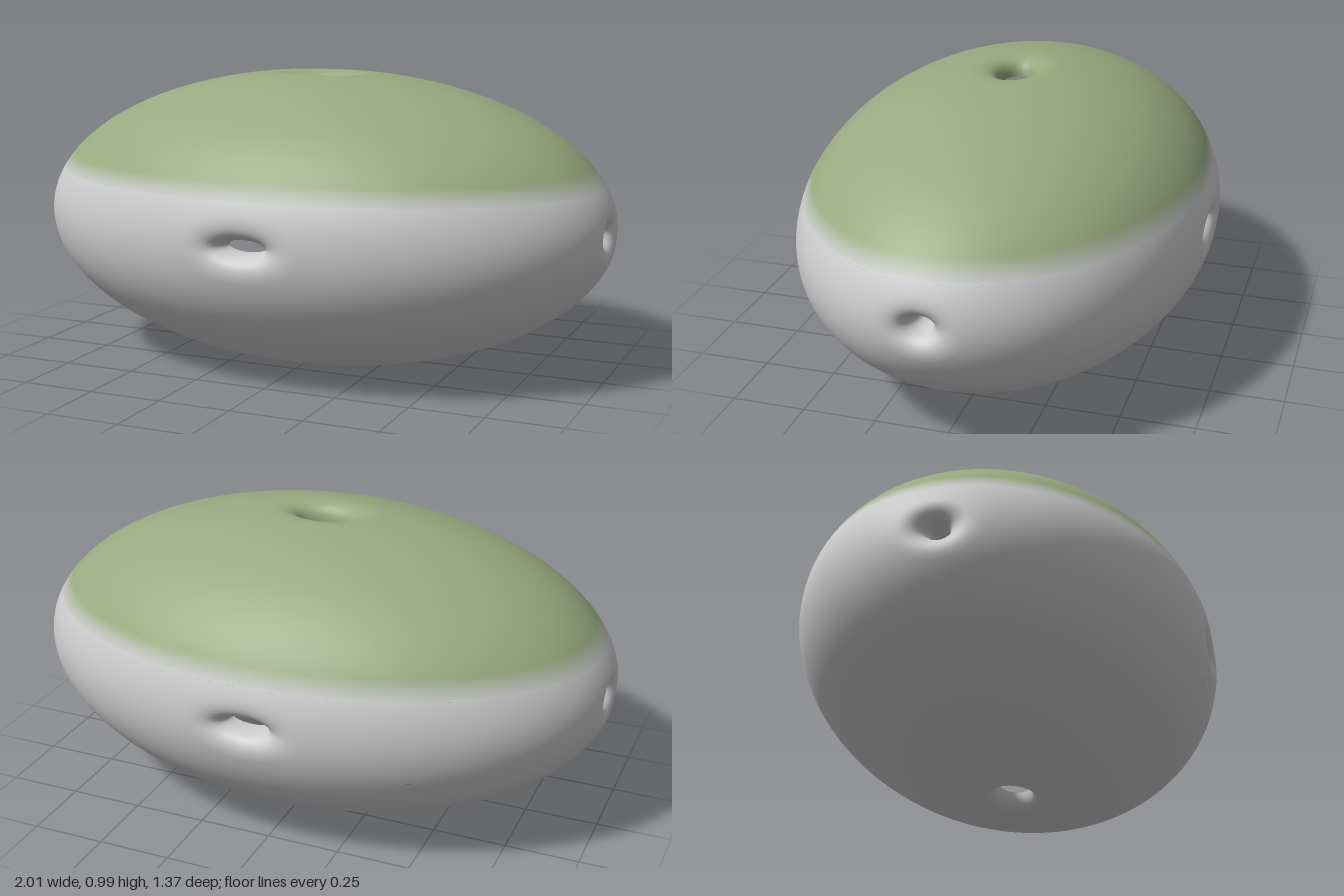
import * as THREE from 'three';

const RADII = new THREE.Vector3(1.005, 0.497, 0.687); // ellipsoid half axes per unit
const R = 1.015;                 // sphere radius before the funnels cut its poles
const RIM = 0.22;                // where a funnel leaves the sphere
const BAND = [0.28, 0.40];       // heights between which grey fades to green
const FUNNEL = 14, SKIN = 30, SEGS = 96;
const GREY = new THREE.Color(0xcccccc), GREEN = new THREE.Color(0x98aa80);
const lerp = THREE.MathUtils.lerp;

// Funnel with an oval throat (a by b), curling out tangent to the sphere, around +z
function funnelPoint(t, angle, a, b) {
  const c = Math.cos(angle), s = Math.sin(angle);
  const rimH = Math.sqrt(R * R - RIM * RIM);
  const ctrlH = rimH + (RIM / rimH) * (RIM - (a + b) / 2);
  const k0 = 1 - t * t, k1 = t * t;
  return [
    c * (k0 * a + k1 * RIM),
    s * (k0 * b + k1 * RIM),
    (1 - t) ** 2 * 0.87 + 2 * t * (1 - t) * ctrlH + k1 * rimH,
  ];
}

// Round cap: from the rim down to the height of the edge
function capPoint(t, angle, edge) {
  const polar = lerp(Math.asin(RIM / R), Math.acos(edge), t);
  const r = R * Math.sin(polar);
  return [r * Math.cos(angle), r * Math.sin(angle), R * Math.cos(polar)];
}

// Quarter of the belt: from the round rim out to a square of longitude and height
function sidePoint(t, angle, edge) {
  const c = Math.cos(angle), s = Math.sin(angle);
  const k = 1 / Math.max(Math.abs(c), Math.abs(s));
  const rimH = Math.sqrt(R * R - RIM * RIM);
  const lon = lerp(Math.atan2(RIM * c, rimH), (Math.PI / 4) * k * c, t);
  const y = lerp((RIM * s) / R, edge * k * s, t);
  const r = R * Math.sqrt(1 - y * y);
  return [r * Math.sin(lon), R * y, r * Math.cos(lon)];
}

// Closed loops of points from the throat outwards
function patch(outerPoint, edge, a, b, rotX, rotY) {
  const pos = [], index = [], rows = FUNNEL + SKIN;
  for (let i = 0; i <= rows; i++) {
    for (let j = 0; j < SEGS; j++) {
      const angle = (j / SEGS) * Math.PI * 2;
      pos.push(...(i < FUNNEL
        ? funnelPoint(i / FUNNEL, angle, a, b)
        : outerPoint((i - FUNNEL) / SKIN, angle, edge)));
      if (i === rows) continue;
      const n = (j + 1) % SEGS;
      const p = i * SEGS + j, q = i * SEGS + n;
      index.push(p, p + SEGS, q + SEGS, p, q + SEGS, q);
    }
  }
  const geo = new THREE.BufferGeometry();
  geo.setAttribute('position', new THREE.Float32BufferAttribute(pos, 3));
  geo.setIndex(index);
  geo.rotateX(rotX).rotateY(rotY).scale(RADII.x, RADII.y, RADII.z);
  geo.computeVertexNormals();
  // Exact ellipsoid normals on the skin, so that patches join without seams
  const P = geo.attributes.position, N = geo.attributes.normal;
  const v = new THREE.Vector3();
  for (let i = FUNNEL * SEGS; i < P.count; i++) {
    v.fromBufferAttribute(P, i).divide(RADII).divide(RADII).normalize();
    N.setXYZ(i, v.x, v.y, v.z);
  }
  return geo;
}

export function createModel() {
  const group = new THREE.Group();
  group.name = 'hollowPebble';
  const body = new THREE.Group();
  body.name = 'shell';
  body.position.y = 0.495;
  group.add(body);

  const add = (name, geo, color) => {
    const mesh = new THREE.Mesh(geo, new THREE.MeshStandardMaterial({ color }));
    mesh.name = name;
    body.add(mesh);
  };

  // Top and bottom caps
  add('topCap', patch(capPoint, BAND[1], 0.09, 0.08, -Math.PI / 2, 0), GREEN);
  add('bottomCap', patch(capPoint, BAND[0], 0.09, 0.08, Math.PI / 2, 0), GREY);

  // Four sides of the belt
  ['frontSide', 'leftSide', 'backSide', 'rightSide'].forEach((name, k) => {
    const [a, b] = k % 2 ? [0.036, 0.034] : [0.068, 0.042];
    add(name, patch(sidePoint, BAND[0], a, b, 0, (k * Math.PI) / 2), GREY);
  });

  // Thin rings fading from grey to green
  const RINGS = 8;
  for (let i = 0; i < RINGS; i++) {
    const low = Math.acos(lerp(BAND[0], BAND[1], i / RINGS));
    const high = Math.acos(lerp(BAND[0], BAND[1], (i + 1) / RINGS));
    const geo = new THREE.SphereGeometry(R, SEGS, 1, 0, Math.PI * 2, high, low - high);
    geo.scale(RADII.x, RADII.y, RADII.z);
    add('fadeRing' + (i + 1), geo, GREY.clone().lerp(GREEN, (i + 0.5) / RINGS));
  }
  return group;
}
